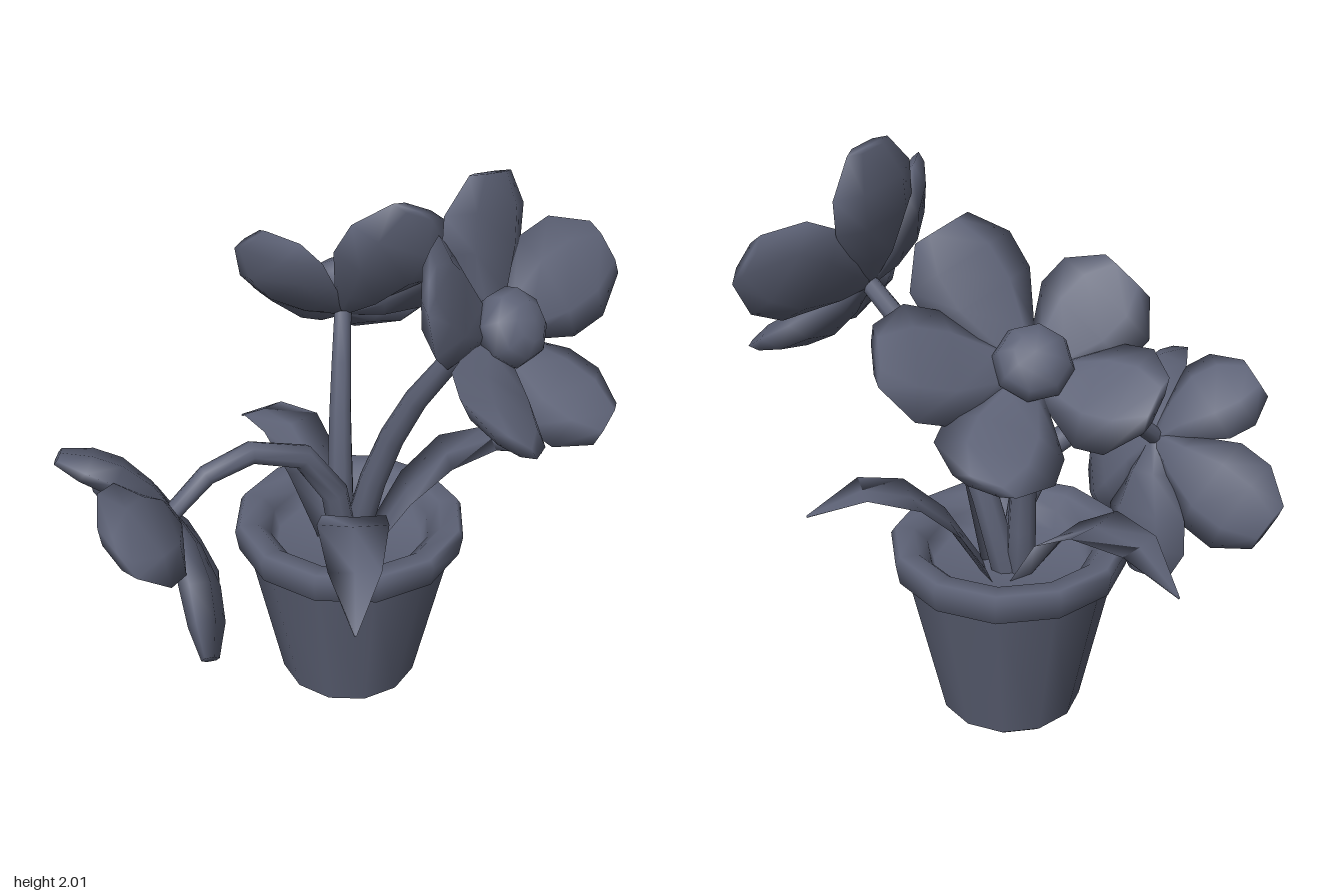
import * as THREE from 'three';

const V = (p) => new THREE.Vector3(...p);
const color = 0x5e6377;
const mat = new THREE.MeshStandardMaterial({ color });
const thinMat = new THREE.MeshStandardMaterial({ color, side: THREE.DoubleSide });

// Skins a run of elliptical rings { c, dir, up, w, h, fold } and closes both ends.
function loft(rings, sides) {
  const pos = [], index = [];
  for (const { c, dir, up, w, h, fold = 0 } of rings) {
    const u = up.clone().addScaledVector(dir, -up.dot(dir)).normalize();
    const s = new THREE.Vector3().crossVectors(u, dir);
    for (let j = 0; j < sides; j++) {
      const a = (j / sides) * Math.PI * 2;
      const p = c.clone().addScaledVector(s, Math.cos(a) * w)
        .addScaledVector(u, Math.sin(a) * h + fold * Math.abs(Math.cos(a)));
      pos.push(p.x, p.y, p.z);
    }
  }
  const last = (rings.length - 1) * sides, cap = rings.length * sides;
  for (const r of [rings[0], rings[rings.length - 1]]) pos.push(r.c.x, r.c.y, r.c.z);
  for (let j = 0; j < sides; j++) {
    const k = (j + 1) % sides;
    for (let o = 0; o < last; o += sides) {
      index.push(o + j, o + k, o + sides + j, o + k, o + sides + k, o + sides + j);
    }
    index.push(cap, k, j, cap + 1, last + j, last + k);
  }
  const g = new THREE.BufferGeometry();
  g.setAttribute('position', new THREE.Float32BufferAttribute(pos, 3));
  g.setIndex(index);
  g.computeVertexNormals();
  return g;
}

function add(parent, name, geometry, material = mat) {
  const mesh = new THREE.Mesh(geometry, material);
  mesh.name = name;
  parent.add(mesh);
  return mesh;
}

// Tapered bending stem
function stem(points) {
  const curve = new THREE.CatmullRomCurve3(points.map(V));
  const rings = [];
  for (let i = 0; i <= 5; i++) {
    const t = i / 5, r = 0.053 - 0.022 * t;
    rings.push({ c: curve.getPoint(t), dir: curve.getTangent(t), up: V([0.6, 0, 0.8]), w: r, h: r });
  }
  return loft(rings, 8);
}

// Arching pointed leaf, slightly folded along its midrib
function leaf(points) {
  const curve = new THREE.CatmullRomCurve3(points.map(V));
  const widths = [0.085, 0.11, 0.118, 0.085, 0.004];
  return loft(widths.map((w, i) => ({
    c: curve.getPoint(i / 4), dir: curve.getTangent(i / 4), up: V([0, 1, 0]),
    w, h: Math.min(0.008, w), fold: w * 0.14,
  })), 4);
}

// Plump blunt petal from the flower base to its tip: [t, half width, half thickness]
const petalRings = [[0, 0.03, 0.025], [0.25, 0.1, 0.05], [0.55, 0.183, 0.06],
  [0.8, 0.183, 0.053], [1.03, 0.095, 0.025]];
function petal(base, tip, normal) {
  const dir = tip.clone().sub(base).normalize();
  const up = normal.clone().addScaledVector(dir, -normal.dot(dir)).normalize();
  return loft(petalRings.map(([t, w, h]) => ({
    c: base.clone().lerp(tip, t).addScaledVector(up, -0.03 * Math.sin(Math.PI * t)),
    dir, up, w, h,
  })), 6);
}

function flower(name, { base, normal, tips, path }) {
  const g = new THREE.Group();
  g.name = name;
  const b = V(base), n = V(normal).normalize();
  add(g, 'stem', stem([...path, base]));
  tips.forEach((t, i) => add(g, 'petal' + (i + 1), petal(b, V(t), n)));
  const centre = add(g, 'flowerCentre', new THREE.SphereGeometry(0.125, 8, 6));
  centre.scale.y = 0.75;
  centre.quaternion.setFromUnitVectors(new THREE.Vector3(0, 1, 0), n);
  centre.position.copy(b).addScaledVector(n, 0.085);
  return g;
}

export function createModel() {
  const model = new THREE.Group();
  model.name = 'pottedFlowers';

  // Tapered pot with a thick rounded rim and the soil inside
  const profile = [[0, 0], [0.215, 0], [0.25, 0.03], [0.365, 0.575], [0.4, 0.59], [0.412, 0.665],
    [0.395, 0.69], [0.33, 0.685], [0.285, 0.64], [0.265, 0.57], [0, 0.57]];
  const pot = add(model, 'pot', new THREE.LatheGeometry(profile.map(([x, y]) => new THREE.Vector2(x, y)), 12));
  pot.position.set(0.02, 0, -0.095);

  // Drooping flower
  model.add(flower('droopingFlower', {
    base: [-0.47, 0.86, 0.34], normal: [-0.645, -0.506, 0.574],
    tips: [[-0.8, 1.07, 0.42], [-0.85, 0.68, 0.06], [-0.46, 0.39, 0.19], [-0.24, 0.53, 0.6], [-0.45, 0.99, 0.74]],
    path: [[0.01, 0.56, -0.07], [-0.02, 0.8, -0.04], [-0.11, 0.97, 0.03], [-0.25, 1.03, 0.15], [-0.37, 0.98, 0.25]],
  }));
  // Flower facing up and back
  model.add(flower('backFlower', {
    base: [-0.07, 1.38, -0.3], normal: [-0.15, 0.7, -0.7],
    tips: [[0.01, 1.24, -0.75], [0.33, 1.53, -0.57], [0.2, 1.78, -0.2], [-0.34, 1.64, -0.16], [-0.44, 1.38, -0.49]],
    path: [[-0.02, 0.56, -0.12], [-0.03, 0.85, -0.14], [-0.045, 1.1, -0.19]],
  }));
  // Tall flower facing the left side
  model.add(flower('tallFlower', {
    base: [0.5, 1.53, 0.05], normal: [0.78, 0.52, 0.35],
    tips: [[0.45, 1.98, -0.05], [0.38, 1.81, 0.37], [0.65, 1.38, 0.42], [0.86, 1.29, 0.06], [0.77, 1.7, -0.29]],
    path: [[0.03, 0.56, -0.12], [0.12, 0.9, -0.1], [0.21, 1.12, -0.06], [0.34, 1.35, -0.01]],
  }));

  // Leaves
  const leaves = {
    frontLeaf: [[0.04, 0.56, -0.06], [0.08, 0.77, 0.06], [0.13, 0.86, 0.24], [0.19, 0.82, 0.42], [0.24, 0.71, 0.58]],
    leftLeaf: [[0.1, 0.56, -0.15], [0.21, 0.76, -0.19], [0.33, 0.89, -0.25], [0.47, 0.94, -0.31], [0.64, 0.88, -0.38]],
    rightLeaf: [[-0.05, 0.56, -0.15], [-0.16, 0.76, -0.23], [-0.28, 0.86, -0.33], [-0.42, 0.85, -0.42], [-0.55, 0.75, -0.53]],
  };
  for (const [name, points] of Object.entries(leaves)) add(model, name, leaf(points), thinMat);

  return model;
}
